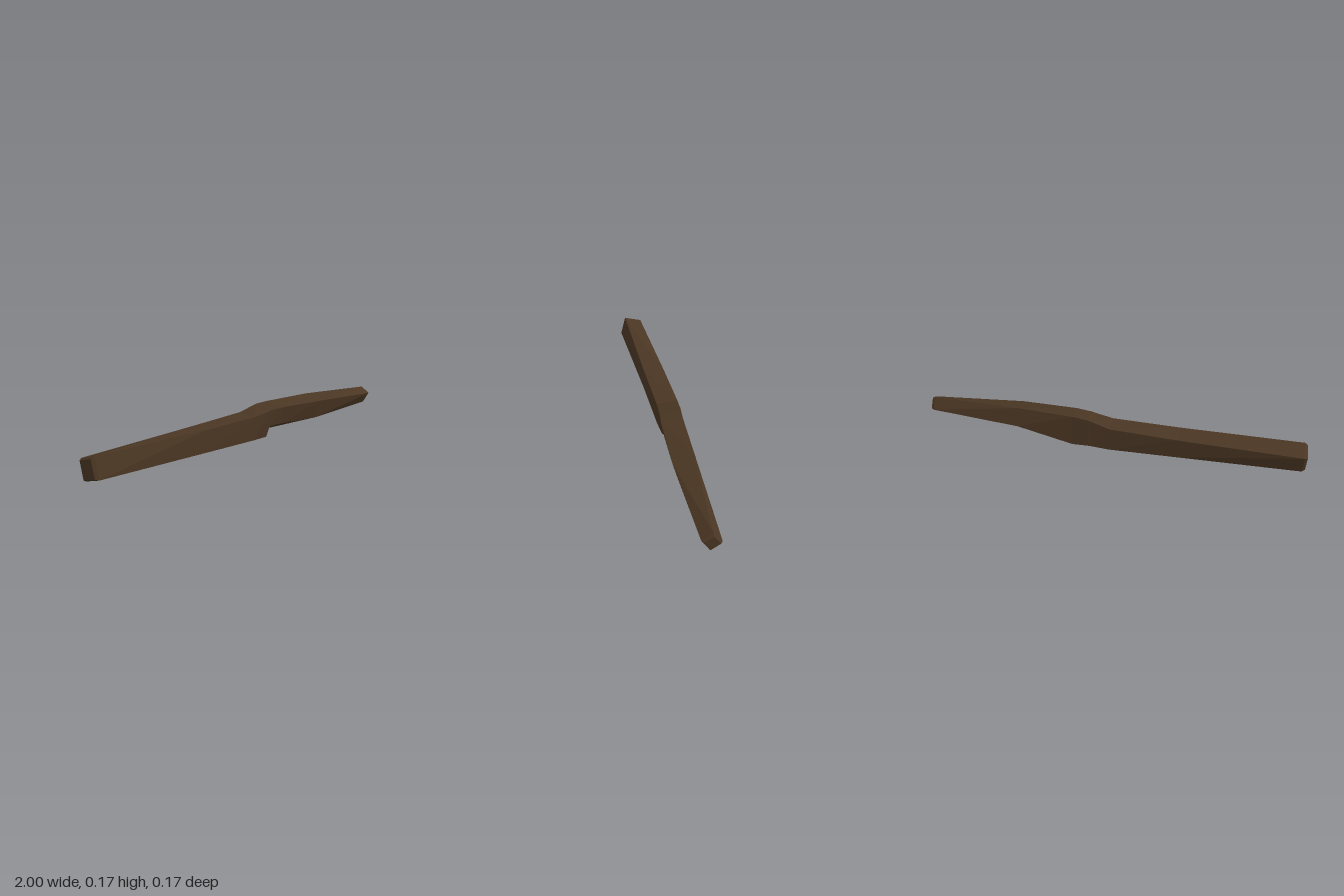
import * as THREE from 'three';

// Four-sided cross-sections along x: [x, then (z, y) of front-top, back-top, back-bottom, front-bottom]
const SECTIONS = [
  [-0.985, 0.012, 0.132, -0.085, 0.105, -0.06, 0.003, 0.04, 0.03],
  [-0.35, 0.03, 0.125, -0.08, 0.124, -0.078, 0.013, 0.033, 0.012],
  [0.0, 0.038, 0.13, -0.072, 0.138, -0.08, 0.012, 0.036, 0.005],
  [0.095, 0.048, 0.144, -0.06, 0.163, -0.08, 0.02, 0.032, 0.004],
  [0.115, 0.05, 0.149, -0.058, 0.168, -0.079, 0.02, 0.04, 0.06],
  [0.2, 0.062, 0.152, -0.047, 0.172, -0.068, 0.01, 0.045, 0.06],
  [0.5, 0.083, 0.143, -0.022, 0.17, -0.052, 0.073, 0.055, 0.043],
  [0.985, 0.082, 0.112, 0.03, 0.145, -0.012, 0.088, 0.045, 0.053],
];

// Shrinks a section toward its centre to chamfer an end
function endSection(section, x, scale) {
  const pts = section.slice(1);
  const mid = [0, 1].map((o) => (pts[o] + pts[o + 2] + pts[o + 4] + pts[o + 6]) / 4);
  return [x, ...pts.map((v, i) => mid[i % 2] + (v - mid[i % 2]) * scale)];
}

// Joins the sections into a closed skin
function loft(sections) {
  const positions = [];
  const index = [];
  sections.forEach(([x, ...p]) => {
    for (let k = 0; k < 4; k++) positions.push(x, p[k * 2 + 1], p[k * 2]);
  });
  for (let i = 0; i < sections.length - 1; i++) {
    for (let k = 0; k < 4; k++) {
      const a = i * 4 + k, b = i * 4 + ((k + 1) % 4);
      index.push(a, a + 4, b + 4, a, b + 4, b);
    }
  }
  const e = (sections.length - 1) * 4;
  index.push(0, 1, 2, 0, 2, 3, e, e + 3, e + 2, e, e + 2, e + 1);
  const geometry = new THREE.BufferGeometry();
  geometry.setAttribute('position', new THREE.Float32BufferAttribute(positions, 3));
  geometry.setIndex(index);
  const flat = geometry.toNonIndexed();
  flat.computeVertexNormals();
  return flat;
}

export function createModel() {
  const darkWood = new THREE.MeshStandardMaterial({ color: 0x4a3623, flatShading: true });
  darkWood.name = 'dark wood';

  // Twisted, notched timber with chamfered ends
  const last = SECTIONS[SECTIONS.length - 1];
  const beam = new THREE.Mesh(
    loft([endSection(SECTIONS[0], -1, 0.85), ...SECTIONS, endSection(last, 1, 0.8)]),
    darkWood
  );
  beam.name = 'woodenBeam';

  const group = new THREE.Group();
  group.name = 'brokenPlank';
  group.add(beam);
  return group;
}
